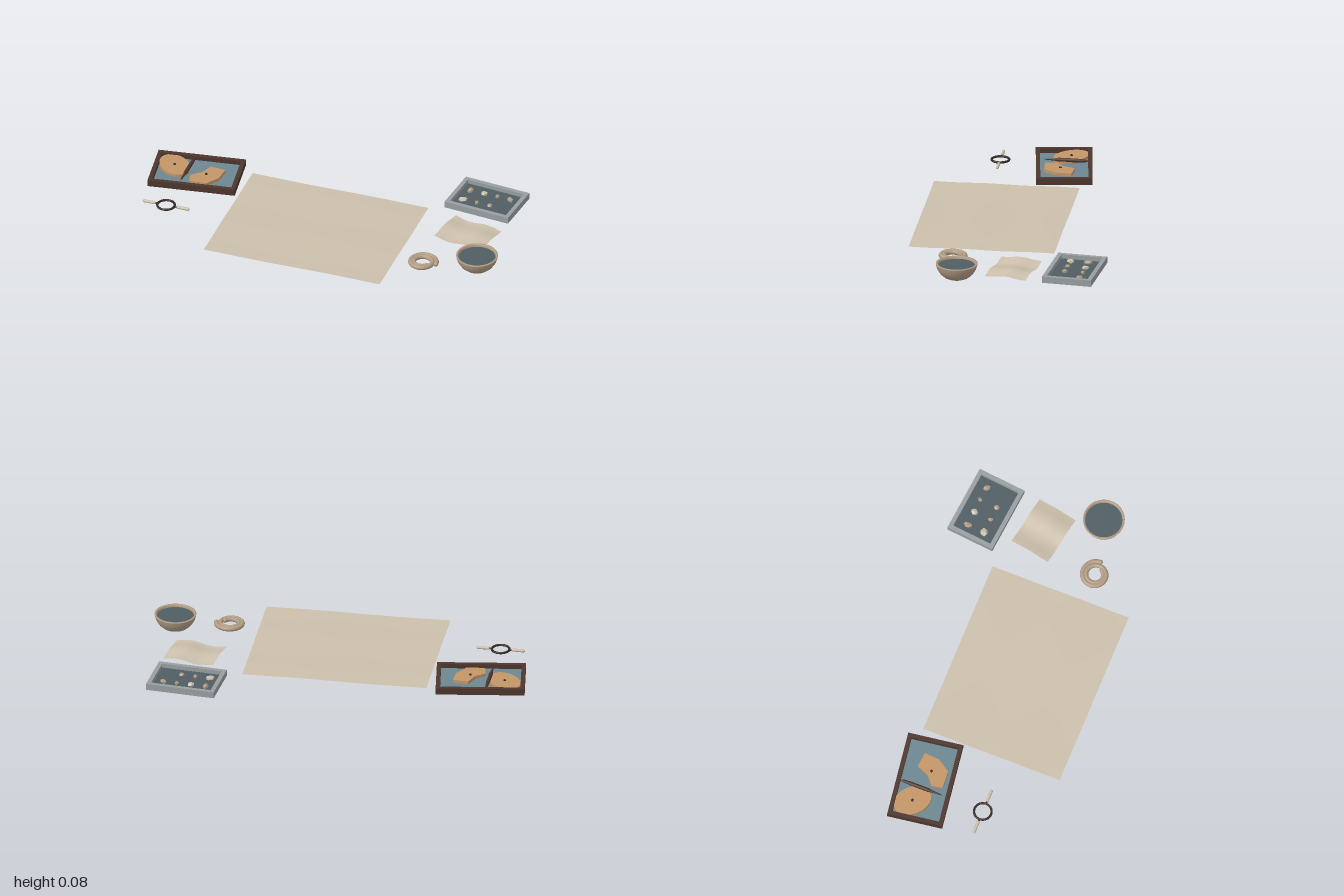
import * as THREE from 'three';

const mat = (name, color, side = THREE.FrontSide) => {
  const m = new THREE.MeshStandardMaterial({ color, side });
  m.name = name;
  return m;
};

export function createModel() {
  const root = new THREE.Group();
  root.name = 'craftTools';
  const M = {
    linen: mat('linen', 0xcbbfab, THREE.DoubleSide),
    darkWood: mat('dark wood', 0x4d362d),
    blue: mat('blue lining', 0x6c8691),
    teal: mat('dark teal', 0x4f5d63),
    metal: mat('grey metal', 0x989ea1),
    wood: mat('light wood', 0xc39566),
    clay: mat('clay', 0xb29c84),
    iron: mat('dark iron', 0x352a26),
  };
  const add = (parent, name, geo, material, x = 0, y = 0, z = 0) => {
    const m = new THREE.Mesh(geo, material);
    m.name = name;
    m.position.set(x, y, z);
    parent.add(m);
    return m;
  };

  // Thin sheet with gentle waves
  const sheet = (name, w, d, x, z, turn, height) => {
    const g = new THREE.PlaneGeometry(w, d, 32, 24).rotateX(-Math.PI / 2);
    const p = g.attributes.position;
    for (let i = 0; i < p.count; i++) p.setY(i, height(p.getX(i), p.getZ(i)));
    g.computeVertexNormals();
    add(root, name, g, M.linen, x, 0, z).rotation.y = turn;
  };
  sheet('largeCloth', 0.955, 0.752, -0.012, 0.144, 0,
    (x, z) => 0.003 + 0.0015 * Math.sin(x * 9) + 0.0015 * Math.sin(z * 17));
  sheet('smallCloth', 0.271, 0.218, 0.74, -0.059, -0.18,
    (x, z) => 0.018 + 0.007 * Math.sin(x * 30) + 0.005 * Math.cos(z * 32));

  // Tray: base, lining, four walls and an outer foot rail
  const tray = (name, w, d, h, t, wall, lining, x, z, turn) => {
    const g = new THREE.Group();
    g.name = name;
    g.position.set(x, 0.003, z);
    g.rotation.y = turn;
    root.add(g);
    add(g, 'trayBase', new THREE.BoxGeometry(w - 0.006, 0.008, d - 0.006), wall, 0, 0.004, 0);
    add(g, 'trayLining', new THREE.BoxGeometry(w - 2 * t, 0.004, d - 2 * t), lining, 0, 0.01, 0);
    for (const s of [-1, 1]) {
      add(g, 'longWall', new THREE.BoxGeometry(w, h, t), wall, 0, h / 2, s * (d - t) / 2);
      add(g, 'shortWall', new THREE.BoxGeometry(t, h, d - 2 * t), wall, s * (w - t) / 2, h / 2, 0);
    }
  };
  tray('woodenTray', 0.456, 0.29, 0.035, 0.022, M.darkWood, M.blue, -0.753, -0.116, 0.14);
  tray('metalTray', 0.359, 0.258, 0.034, 0.022, M.metal, M.teal, 0.732, -0.374, -0.1);

  // Flat wooden pieces, each with a peg
  const flat = (name, shape, x, z) => {
    const g = new THREE.ExtrudeGeometry(shape, { depth: 0.016, bevelEnabled: false, curveSegments: 24 });
    add(root, name, g.rotateX(Math.PI / 2), M.wood, x, 0.032, z);
    add(root, 'peg', new THREE.CylinderGeometry(0.007, 0.007, 0.004, 12), M.iron, x, 0.034, z);
  };
  const oval = new THREE.Shape();
  oval.absellipse(0, 0, 0.1, 0.073, 0, Math.PI * 2, false, Math.PI / 4);
  flat('ovalPiece', oval, -0.88, -0.136);
  const angular = [[0, -0.075], [0.08, -0.068], [0.074, 0.012], [0.03, 0.08], [-0.062, 0.087], [-0.074, 0.03], [-0.026, -0.01]];
  flat('angularPiece', new THREE.Shape(angular.map(([x, z]) => new THREE.Vector2(x, z))), -0.697, -0.104);

  // Tapered spindle lying between the pieces
  const spindle = [[0, -0.12], [0.007, -0.1], [0.01, -0.05], [0.01, 0.04], [0.006, 0.06], [0.004, 0.1], [0, 0.12]]
    .map(([r, y]) => new THREE.Vector2(r, y));
  add(root, 'spindle', new THREE.LatheGeometry(spindle, 14).rotateX(Math.PI / 2), M.darkWood, -0.8, 0.036, -0.12);

  // Faceted stones in the metal tray
  const stones = [[0.623, -0.43], [0.7, -0.425], [0.773, -0.422], [0.845, -0.414], [0.615, -0.338], [0.692, -0.333], [0.764, -0.328]];
  stones.forEach(([x, z], i) => {
    const g = new THREE.DodecahedronGeometry(0.02, 0).toNonIndexed();
    g.scale(0.75 + 0.25 * Math.sin(i * 2.1), 0.55, 0.95 + 0.3 * Math.cos(i * 1.7));
    g.computeVertexNormals();
    add(root, 'stone', g, i % 3 === 1 ? M.linen : M.clay, x, 0.022, z).rotation.y = i * 1.3;
  });

  // Bowl with a filled top
  const bowl = [[0, 0.004], [0.045, 0.004], [0.065, 0.013], [0.085, 0.031], [0.1, 0.055], [0.107, 0.08],
    [0.107, 0.085], [0.098, 0.085], [0.096, 0.078], [0.092, 0.06]].map(([r, y]) => new THREE.Vector2(r, y));
  add(root, 'bowl', new THREE.LatheGeometry(bowl, 48), M.clay, 0.887, 0, 0.214);
  add(root, 'bowlContents', new THREE.CylinderGeometry(0.0945, 0.0945, 0.004, 48), M.teal, 0.887, 0.07, 0.214);

  // Coiled roll, winding inward
  const coil = [];
  for (let i = 0; i <= 48; i++) {
    const u = i / 48, a = u * Math.PI * 3.8, r = 0.073 - 0.032 * u - 0.004 * Math.sin(u * Math.PI);
    coil.push(new THREE.Vector3(r * Math.cos(a), 0, -r * Math.sin(a)));
  }
  const coilPath = new THREE.CatmullRomCurve3(coil);
  add(root, 'coil', new THREE.TubeGeometry(coilPath, 120, 0.0125, 12), M.clay, 0.612, 0.021, 0.276);
  for (const p of [coil[0], coil[48]])
    add(root, 'coilEnd', new THREE.SphereGeometry(0.0125, 12, 8), M.clay, 0.612 + p.x, 0.021, 0.276 + p.z);

  // Iron ring with two handles
  add(root, 'toolRing', new THREE.TorusGeometry(0.045, 0.006, 10, 40).rotateX(Math.PI / 2), M.iron, -0.8, 0.022, 0.22);
  for (const s of [-1, 1]) {
    add(root, 'toolTang', new THREE.CylinderGeometry(0.005, 0.005, 0.02, 10).rotateZ(Math.PI / 2),
      M.iron, -0.8 + s * 0.056, 0.022, 0.22);
    add(root, 'toolHandle', new THREE.CapsuleGeometry(0.008, 0.056, 4, 12).rotateZ(Math.PI / 2),
      M.linen, -0.8 + s * 0.091, 0.022, 0.22);
  }
  return root;
}
